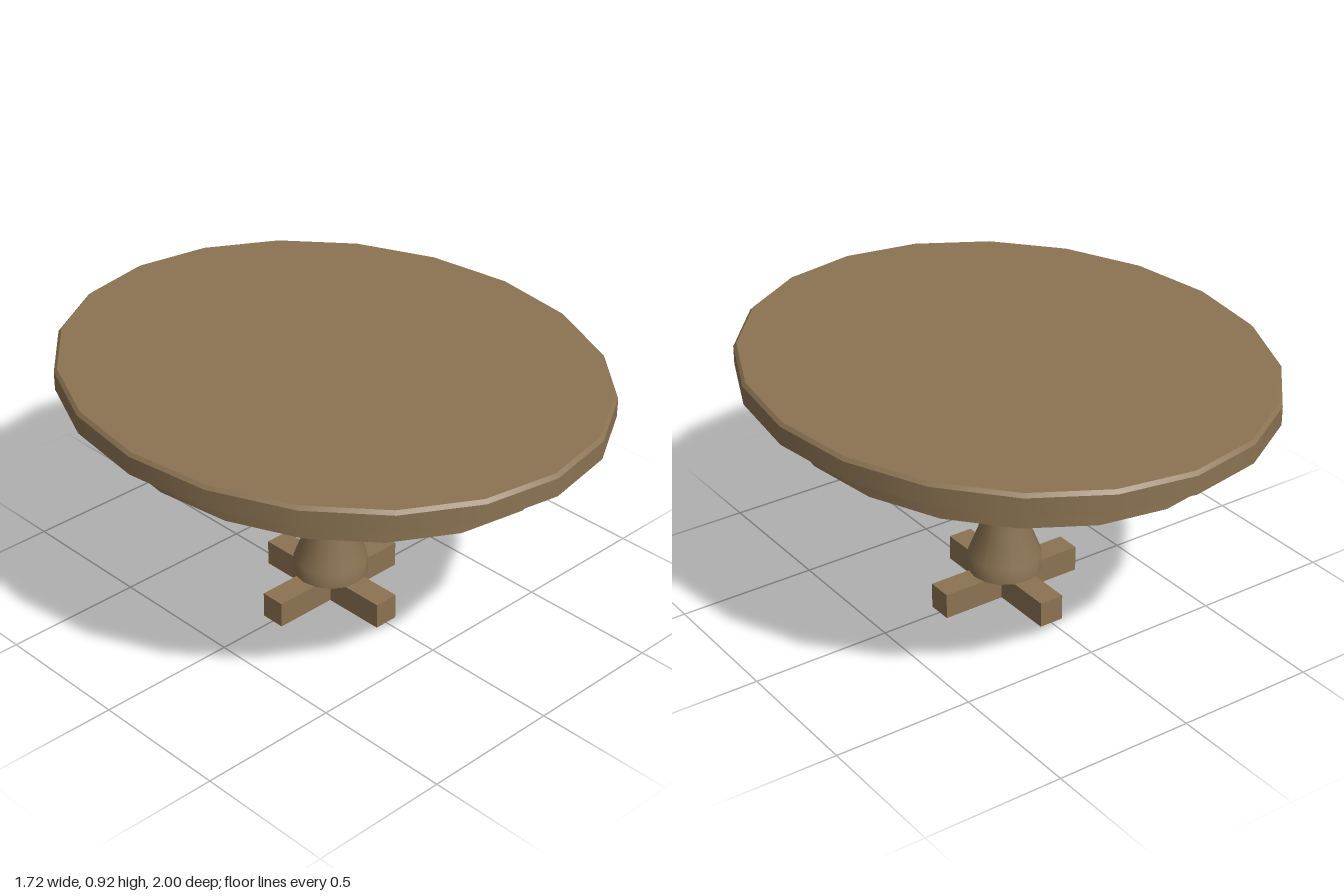
import * as THREE from 'three';

const SIDES = 20;
const OVAL = 0.862; // width of the oval relative to its length

export function createModel() {
  const model = new THREE.Group();
  model.name = 'pedestalTable';
  const wood = new THREE.MeshStandardMaterial({ color: 0x8b7352, side: THREE.DoubleSide });
  wood.name = 'wood';

  const add = (name, geometry, y = 0, parent = model) => {
    const mesh = new THREE.Mesh(geometry, wood);
    mesh.name = name;
    mesh.position.y = y;
    parent.add(mesh);
    return mesh;
  };

  // Oval wall between two heights, optionally sloping inward
  const ovalWall = (rTop, rBottom, y0, y1) =>
    new THREE.CylinderGeometry(rTop, rBottom, y1 - y0, SIDES, 1, true)
      .translate(0, (y0 + y1) / 2, 0).scale(OVAL, 1, 1);

  // Flat oval face, turned up or down
  const ovalFace = (r, y, up) =>
    new THREE.CircleGeometry(r, SIDES, Math.PI / 2)
      .rotateX(up ? -Math.PI / 2 : Math.PI / 2).scale(OVAL, 1, 1).translate(0, y, 0);

  // Table top with a small bevelled upper edge
  const top = new THREE.Group();
  top.name = 'tableTop';
  model.add(top);
  add('topEdge', ovalWall(1, 1, 0.84, 0.905), 0, top);
  add('topBevel', ovalWall(0.988, 1, 0.905, 0.917), 0, top);
  add('topSurface', ovalFace(0.988, 0.917, true), 0, top);
  add('topUnderside', ovalFace(1, 0.84, false), 0, top);

  // Thin open apron below the top
  add('apron', ovalWall(0.862, 0.862, 0.725, 0.84));

  // Turned pedestal column
  const profile = [
    [0.13, 0.092], [0.13, 0.15], [0.085, 0.265], [0.07, 0.475],
    [0.092, 0.745], [0.115, 0.84],
  ].map(([r, y]) => new THREE.Vector2(r, y));
  add('pedestal', new THREE.LatheGeometry(profile, 16));

  // Crossed feet: hollow beams, open underneath
  const openBeam = (w, h, d) => {
    const box = new THREE.BoxGeometry(w, h, d);
    const index = Array.from(box.index.array);
    index.splice(18, 6); // drop the bottom face
    box.setIndex(index);
    box.clearGroups();
    return box;
  };
  const H = 0.093, W = 0.09, REACH = 0.276;
  add('longFoot', openBeam(W, H, REACH * 2), H / 2);
  for (const side of [1, -1]) {
    const length = REACH - W / 2;
    const foot = add(side > 0 ? 'leftFoot' : 'rightFoot', openBeam(length, H, W), H / 2);
    foot.position.x = side * (W + length * 1) / 2;
  }
  return model;
}
